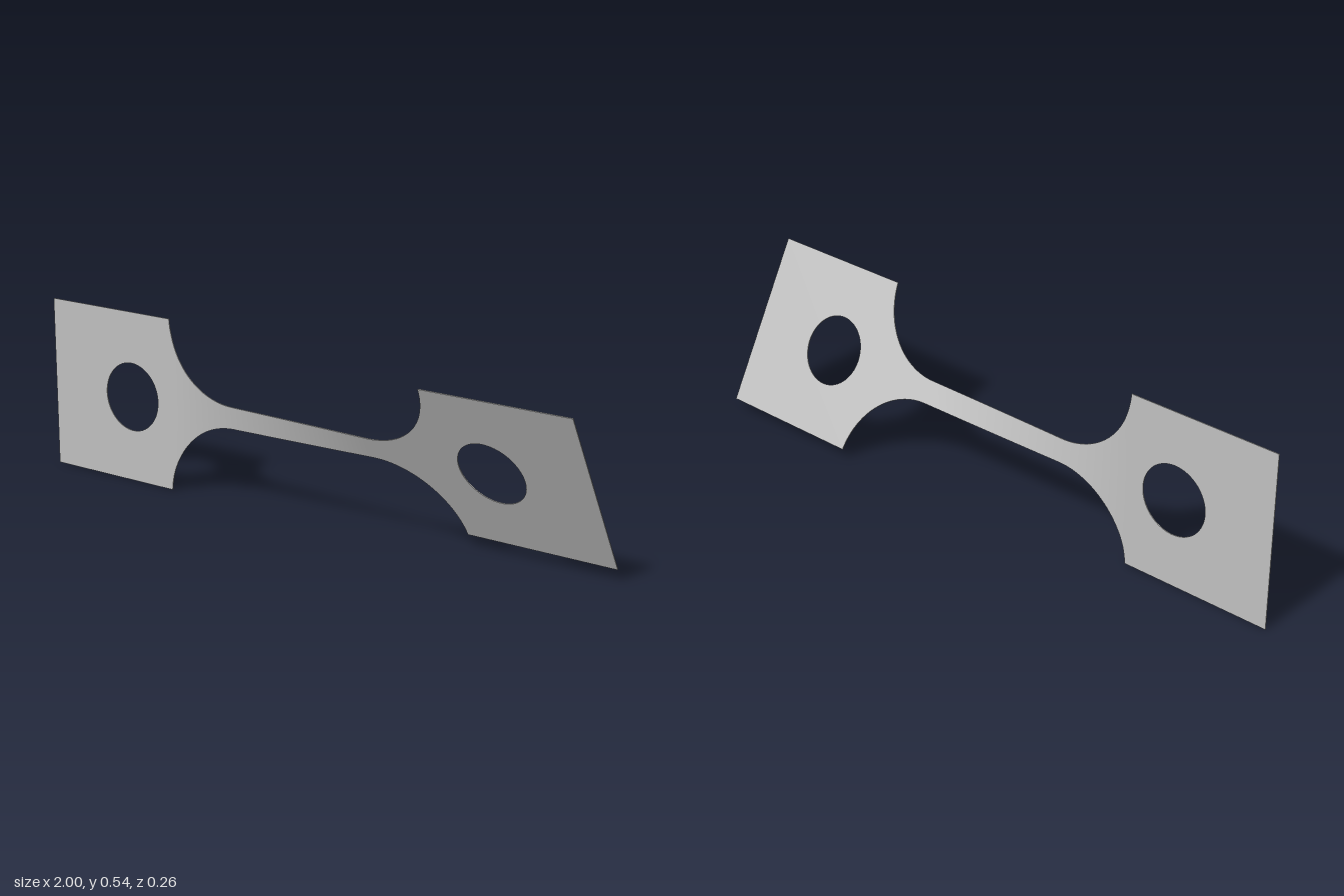
import * as THREE from 'three';

const HALF = 0.27;        // half height of the end plates
const NECK = 0.036;       // half height of the slender bar
const R = 0.25;           // fillet radius
const FILLET_X = 0.26;    // where the fillets start
const THICK = 0.003;
const PHI = Math.acos((NECK + R - HALF) / R);
const PLATE_X = FILLET_X + R * Math.sin(PHI);

// Twist about the x axis, growing evenly along the bar
const twist = (x) =>
  THREE.MathUtils.degToRad(0.6 + 27.7 * THREE.MathUtils.clamp((x + 0.5) / 0.75, 0, 1));

function applyTwist(geometry) {
  const p = geometry.attributes.position;
  for (let i = 0; i < p.count; i++) {
    const a = twist(p.getX(i)), y = p.getY(i), z = p.getZ(i);
    p.setY(i, y * Math.cos(a) - z * Math.sin(a));
    p.setZ(i, y * Math.sin(a) + z * Math.cos(a));
  }
  geometry.computeVertexNormals();
  return geometry;
}

// Square end plate with a round hole; side is -1 or 1
function plateGeometry(side) {
  const a = side > 0 ? PLATE_X : -1;
  const b = side > 0 ? 1 : -PLATE_X;
  const shape = new THREE.Shape([
    new THREE.Vector2(a, -HALF), new THREE.Vector2(b, -HALF),
    new THREE.Vector2(b, HALF), new THREE.Vector2(a, HALF),
  ]);
  const hole = new THREE.Path();
  hole.absarc(side * 0.67, 0, 0.108, 0, Math.PI * 2, true);
  shape.holes.push(hole);
  const g = new THREE.ExtrudeGeometry(shape, { depth: THICK, bevelEnabled: false, curveSegments: 32 });
  g.translate(0, 0, -THICK / 2);
  return applyTwist(g);
}

// Slender bar that flares into the plates along circular fillets
function neckGeometry() {
  const g = new THREE.BoxGeometry(2, 2, THICK, 80, 6, 1);
  const p = g.attributes.position;
  for (let i = 0; i < p.count; i++) {
    const s = p.getX(i), m = Math.abs(s);
    let x = m / 0.4 * FILLET_X, half = NECK;
    if (m > 0.4) {
      const phi = (m - 0.4) / 0.6 * PHI;
      x = FILLET_X + R * Math.sin(phi);
      half = NECK + R * (1 - Math.cos(phi));
    }
    p.setX(i, Math.sign(s) * x);
    p.setY(i, p.getY(i) * half);
  }
  return applyTwist(g);
}

export function createModel() {
  const group = new THREE.Group();
  group.name = 'twistedTensileBar';
  const steel = new THREE.MeshStandardMaterial({ color: 0xbfbfbf });
  steel.name = 'plainGrey';

  const add = (name, geometry) => {
    const mesh = new THREE.Mesh(geometry, steel);
    mesh.name = name;
    mesh.position.y = HALF;
    group.add(mesh);
  };
  add('rightPlate', plateGeometry(-1));
  add('neck', neckGeometry());
  add('leftPlate', plateGeometry(1));
  return group;
}
